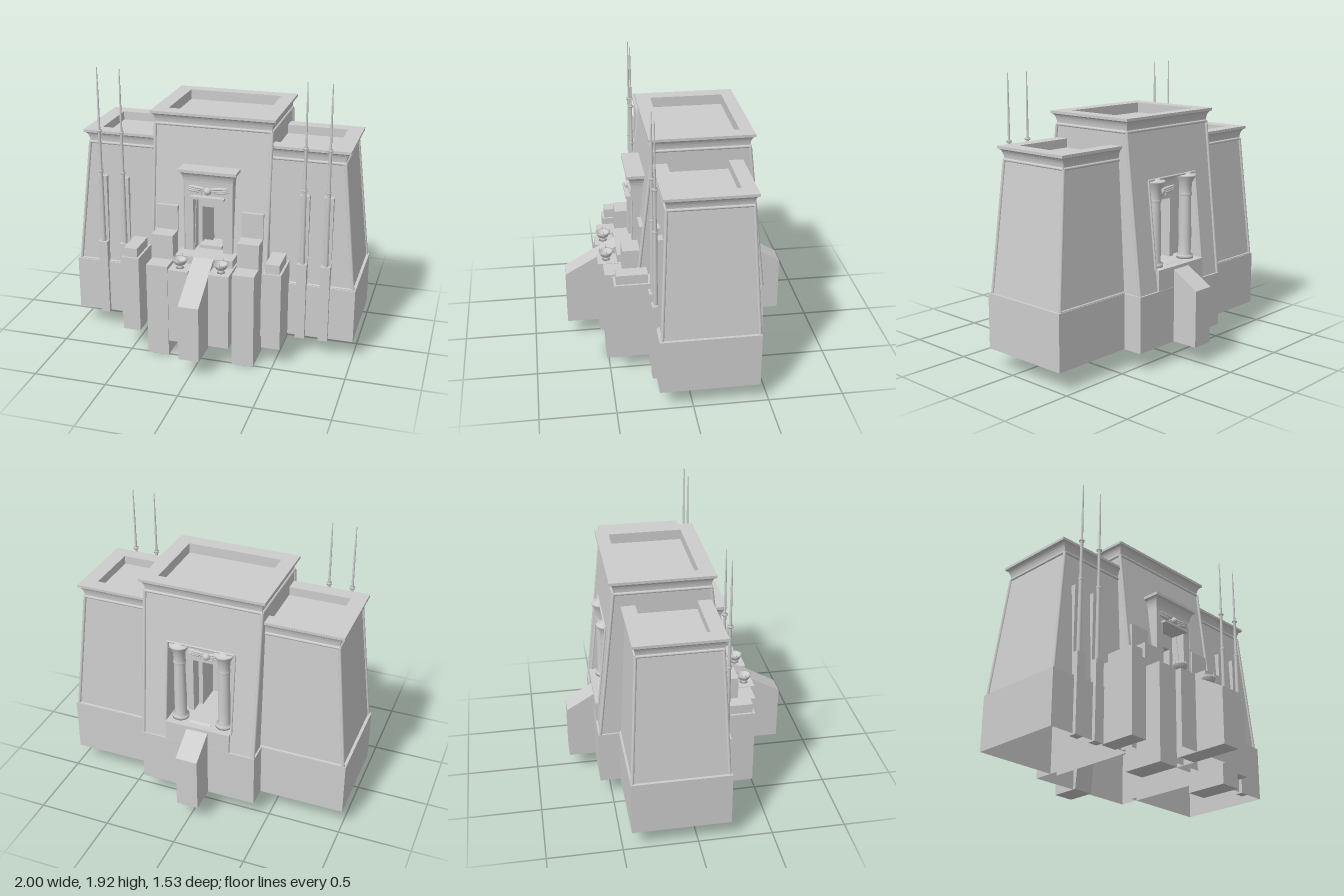
import * as THREE from 'three';

// Double-sided because the hollow shells are open underneath
const stone = new THREE.MeshStandardMaterial({ color: 0xcccccc, side: THREE.DoubleSide });
stone.name = 'stone';

function add(parent, name, geometry, x = 0, y = 0, z = 0) {
  const m = new THREE.Mesh(geometry, stone);
  m.name = name;
  m.position.set(x, y, z);
  parent.add(m);
  return m;
}

// Stacked rectangular sections [y, x0, x1, z0, z1], closed on top and, unless open, underneath
function loft(rings, open = false) {
  const pos = [];
  const R = rings.map(([y, x0, x1, z0, z1]) => [[x0, y, z1], [x1, y, z1], [x1, y, z0], [x0, y, z0]]);
  const quad = (a, b, c, d) => pos.push(...a, ...b, ...c, ...a, ...c, ...d);
  for (let j = 0; j < R.length - 1; j++)
    for (let i = 0; i < 4; i++) {
      const k = (i + 1) % 4;
      quad(R[j][i], R[j][k], R[j + 1][k], R[j + 1][i]);
    }
  const b = R[0], t = R[R.length - 1];
  if (!open) quad(b[3], b[2], b[1], b[0]);
  quad(t[0], t[1], t[2], t[3]);
  const g = new THREE.BufferGeometry();
  g.setAttribute('position', new THREE.Float32BufferAttribute(pos, 3));
  g.computeVertexNormals();
  return g;
}

const block = (p, name, x0, x1, y0, y1, z0, z1, open) =>
  add(p, name, loft([[y0, x0, x1, z0, z1], [y1, x0, x1, z0, z1]], open));

// Round moulding between two points
function rod(p, name, a, b, r) {
  const A = new THREE.Vector3(...a), B = new THREE.Vector3(...b), d = B.clone().sub(A);
  const m = add(p, name, new THREE.CylinderGeometry(r, r, d.length(), 12));
  m.position.copy(A).add(B).multiplyScalar(0.5);
  m.quaternion.setFromUnitVectors(new THREE.Vector3(0, 1, 0), d.normalize());
}

// Flaring concave cornice; f gives how far each edge [x0, x1, z0, z1] moves out
function cornice(y0, y1, [x0, x1, z0, z1], f) {
  const rings = [];
  const ring = (y, k) => rings.push([y, x0 - f[0] * k, x1 + f[1] * k, z0 - f[2] * k, z1 + f[3] * k]);
  const h = (y1 - y0) * 0.8;
  for (let i = 0; i <= 6; i++) {
    const a = (i / 6) * Math.PI / 2;
    ring(y0 + h * Math.sin(a), 1 - Math.cos(a));
  }
  ring(y1, 1);
  return rings;
}

// Side profile of [z, y] points, extruded across x
function ramp(p, name, halfWidth, points) {
  const s = new THREE.Shape(points.map(([z, y]) => new THREE.Vector2(z, y)));
  const g = new THREE.ExtrudeGeometry(s, { depth: halfWidth * 2, bevelEnabled: false });
  add(p, name, g.rotateY(-Math.PI / 2).translate(halfWidth, 0, 0));
}

function wingedDisc(p, y, z, dir) {
  add(p, 'sunDisc', new THREE.SphereGeometry(0.026, 16, 12), 0, y, z);
  for (const s of [-1, 1]) {
    for (let i = 0; i < 3; i++) {
      const f = add(p, 'discWing', new THREE.SphereGeometry(1, 12, 8), s * (0.075 + 0.01 * i), y + 0.02 - 0.012 * i, z - dir * 0.004);
      f.scale.set(0.07 - 0.012 * i, 0.01, 0.012);
      f.rotation.z = s * 0.1;
    }
    add(p, 'serpent', new THREE.TorusGeometry(0.016, 0.005, 6, 12, 4), s * 0.03, y - 0.016, z);
  }
}

// Wing towers: hollow shell from base to cornice, with a sunken roof
function wing(p, s) {
  const X = (a, b) => (s > 0 ? [a, b] : [-b, -a]);
  const edge = (r) => (s > 0 ? [0, r] : [r, 0]);
  const zBot = [-0.428, 0.2], zTop = [-0.38, 0.16], xBot = 0.98, xTop = 0.888;
  add(p, 'wingTower', loft([
    [0.13, ...X(0.36, 1), -0.44, 0.22], [0.51, ...X(0.36, 1), -0.44, 0.22],
    [0.51, ...X(0.36, xBot), ...zBot],
    ...cornice(1.38, 1.47, [...X(0.36, xTop), ...zTop], [...edge(0.037), 0.025, 0.025]),
    [1.47, ...X(0.4, 0.82), -0.31, 0.09], [1.41, ...X(0.4, 0.82), -0.31, 0.09]], true));
  for (const i of [0, 1]) {
    rod(p, 'cornerMoulding', [s * xBot, 0.51, zBot[i]], [s * xTop, 1.38, zTop[i]], 0.011);
    rod(p, 'neckMoulding', [s * 0.38, 1.38, zTop[i]], [s * xTop, 1.38, zTop[i]], 0.01);
    rod(p, 'footMoulding', [s * 0.38, 0.512, zBot[i]], [s * xBot, 0.512, zBot[i]], 0.008);
  }
  rod(p, 'neckMoulding', [s * xTop, 1.38, zTop[0]], [s * xTop, 1.38, zTop[1]], 0.01);

  // Flagpoles on tall plinths
  for (const x of [0.635, 0.795]) {
    block(p, 'polePlinth', s * x - 0.033, s * x + 0.033, 0.12, 0.67, 0.19, 0.245);
    block(p, 'poleBacking', s * x - 0.033, s * x + 0.033, 0.67, 1.15, 0.15, 0.205);
    const pole = [[0, 0.67], [0.016, 0.67], [0.013, 1.186], [0.018, 1.187], [0.018, 1.199], [0.011, 1.2],
      [0.01, 1.474], [0.019, 1.475], [0.019, 1.486], [0.008, 1.487], [0.006, 1.75], [0.003, 1.92], [0, 1.92]];
    add(p, 'flagpole', new THREE.LatheGeometry(pole.map((q) => new THREE.Vector2(...q)), 10), s * x, 0, 0.218);
  }
}

const zFront = (y) => 0.305 - 0.118 * (y - 0.51);
const zBack = (y) => -0.567 + 0.113 * (y - 0.51);
// Part of the battered central wall; zb replaces the sloping back
const wall = (p, name, x0, x1, y0, y1, zb, open) => add(p, name, loft([y0, y1].map((y) =>
  [y, x0, x1, zb === undefined ? zBack(y) : zb, zFront(y)]), open));

function gateTower(p) {
  // Hollow base, rising to the floor of the rear porch
  add(p, 'gateBase', loft([
    [0.13, -0.412, 0.412, -0.58, 0.312], [0.51, -0.412, 0.412, -0.58, 0.312],
    [0.51, -0.23, 0.23, -0.578, 0.305], [0.65, -0.23, 0.23, -0.576, 0.29]], true));
  wall(p, 'gateHead', -0.23, 0.23, 1.23, 1.56);
  wall(p, 'gateLintel', -0.1, 0.1, 1.1, 1.23, -0.36);
  block(p, 'doorPanel', -0.1, 0.1, 0.65, 1.1, -0.12, -0.08);
  block(p, 'doorHead', -0.1, 0.1, 1.0, 1.1, -0.3, 0.2);
  for (const s of [-1, 1]) {
    const X = (a, b) => (s > 0 ? [a, b] : [-b, -a]);
    wall(p, 'gateSide', ...X(0.23, 0.4), 0.51, 1.56, undefined, true);
    wall(p, 'gateInnerSide', ...X(0.1, 0.23), 0.65, 1.23, -0.36);
    block(p, 'doorJamb', ...X(0.07, 0.1), 0.65, 1.0, -0.3, 0.2);
    for (const zf of [zFront, zBack]) {
      rod(p, 'cornerMoulding', [s * 0.402, 0.51, zf(0.51)], [s * 0.402, 1.56, zf(1.56)], 0.011);
    }
    rod(p, 'recessMoulding', [s * 0.237, 0.65, zBack(0.65) - 0.004], [s * 0.237, 1.235, zBack(1.235) - 0.004], 0.008);
    rod(p, 'neckMoulding', [s * 0.402, 1.56, zBack(1.56)], [s * 0.402, 1.56, zFront(1.56)], 0.01);
  }
  for (const zf of [zFront, zBack]) rod(p, 'neckMoulding', [-0.402, 1.56, zf(1.56)], [0.402, 1.56, zf(1.56)], 0.01);
  rod(p, 'recessMoulding', [-0.237, 1.235, zBack(1.235) - 0.004], [0.237, 1.235, zBack(1.235) - 0.004], 0.008);
  add(p, 'gateCornice', loft([
    ...cornice(1.56, 1.65, [-0.4, 0.4, zBack(1.56), zFront(1.56)], [0.03, 0.03, 0.03, 0.03]),
    [1.65, -0.33, 0.33, -0.39, 0.11], [1.58, -0.33, 0.33, -0.39, 0.11]]));
}

function frontPortal(p) {
  for (const s of [-1, 1]) {
    const x = s * 0.137;
    block(p, 'portalJamb', x - 0.033, x + 0.033, 0.66, 1.12, 0.15, 0.302);
    rod(p, 'portalMoulding', [s * 0.167, 0.7, 0.3], [s * 0.167, 1.2, 0.3], 0.005);
  }
  block(p, 'portalLintel', -0.17, 0.17, 1.12, 1.2, 0.15, 0.302);
  block(p, 'portalLedge', -0.118, 0.118, 1.1, 1.117, 0.15, 0.335);
  block(p, 'doorSill', -0.08, 0.08, 0.715, 0.738, 0.15, 0.25);
  add(p, 'portalCornice', loft(cornice(1.2, 1.3, [-0.17, 0.17, 0.12, 0.302], [0.03, 0.03, 0, 0.033])));
  wingedDisc(p, 1.155, 0.308, 1);
}

function backPortal(p) {
  for (const s of [-1, 1]) {
    const x = s * 0.12;
    block(p, 'backJamb', x - 0.02, x + 0.02, 0.65, 1.1, -0.39, -0.35);
    // Papyrus column
    const col = [[0, 0.65], [0.058, 0.65], [0.058, 0.67], [0.04, 0.68], [0.043, 0.8], [0.037, 1.08], [0.042, 1.085],
      [0.042, 1.1], [0.038, 1.105], [0.043, 1.17], [0.067, 1.215], [0.067, 1.225], [0.03, 1.228], [0.03, 1.24], [0, 1.24]];
    add(p, 'column', new THREE.LatheGeometry(col.map((q) => new THREE.Vector2(...q)), 24), s * 0.158, 0, -0.477);
  }
  block(p, 'backLintel', -0.14, 0.14, 1.06, 1.17, -0.39, -0.35);
  add(p, 'backCornice', loft(cornice(1.17, 1.23, [-0.14, 0.14, -0.39, -0.34], [0.02, 0.02, 0.02, 0])));
  wingedDisc(p, 1.115, -0.395, -1);
  ramp(p, 'backRamp', 0.076, [[-0.765, 0.13], [-0.56, 0.13], [-0.51, 0.66], [-0.565, 0.635], [-0.765, 0.515]]);
}

function forecourt(p) {
  block(p, 'threshold', -0.2, 0.2, 0.66, 0.715, 0.15, 0.41);
  ramp(p, 'frontRamp', 0.07, [[0.4, 0.13], [0.765, 0.13], [0.765, 0.515], [0.55, 0.638], [0.41, 0.715], [0.4, 0.715]]);
  const bowl = [[0, 0], [0.028, 0], [0.014, 0.012], [0.014, 0.022], [0.035, 0.03], [0.048, 0.055], [0.048, 0.066], [0.04, 0.064], [0.028, 0.045], [0, 0.04]];
  for (const s of [-1, 1]) {
    // Terrace blocks flanking the ramp
    const t = s * 0.14;
    block(p, 'terrace', t - 0.07, t + 0.07, 0.13, 0.66, 0.25, 0.545, true);
    // Stepped pedestals
    const x = s * 0.299;
    block(p, 'pedestalFront', x - 0.075, x + 0.075, 0, 0.665, 0.22, 0.512);
    block(p, 'pedestalMiddle', x - 0.075, x + 0.075, 0.665, 0.838, 0.2, 0.388);
    block(p, 'pedestalBack', x - 0.075, x + 0.075, 0.838, 1.012, 0.18, 0.272);
    // Offering bowls
    const b = new THREE.Group();
    b.name = 'fireBowl';
    b.position.set(s * 0.142, 0.66, 0.483);
    add(b, 'bowl', new THREE.LatheGeometry(bowl.map((q) => new THREE.Vector2(...q)), 20));
    for (let i = 0; i < 4; i++) {
      const a = i * Math.PI / 2;
      add(b, 'bowlHorn', new THREE.ConeGeometry(0.007, 0.035, 6), 0.046 * Math.cos(a), 0.072, 0.046 * Math.sin(a));
    }
    p.add(b);
  }
  // Outer plinths
  for (const [x0, x1] of [[-0.57, -0.447], [0.417, 0.544]]) {
    block(p, 'outerPlinth', x0, x1, 0.13, 0.675, 0.2, 0.462);
    block(p, 'outerPlinthCap', x0 + 0.015, x1 - 0.015, 0.675, 0.74, 0.235, 0.447);
  }
}

export function createModel() {
  const root = new THREE.Group();
  root.name = 'templeGateway';
  const part = (name, build) => {
    const g = new THREE.Group();
    g.name = name;
    build(g);
    root.add(g);
  };
  part('leftWing', (g) => wing(g, 1));
  part('rightWing', (g) => wing(g, -1));
  part('gateTower', gateTower);
  part('frontPortal', frontPortal);
  part('backPortal', backPortal);
  part('forecourt', forecourt);
  return root;
}
